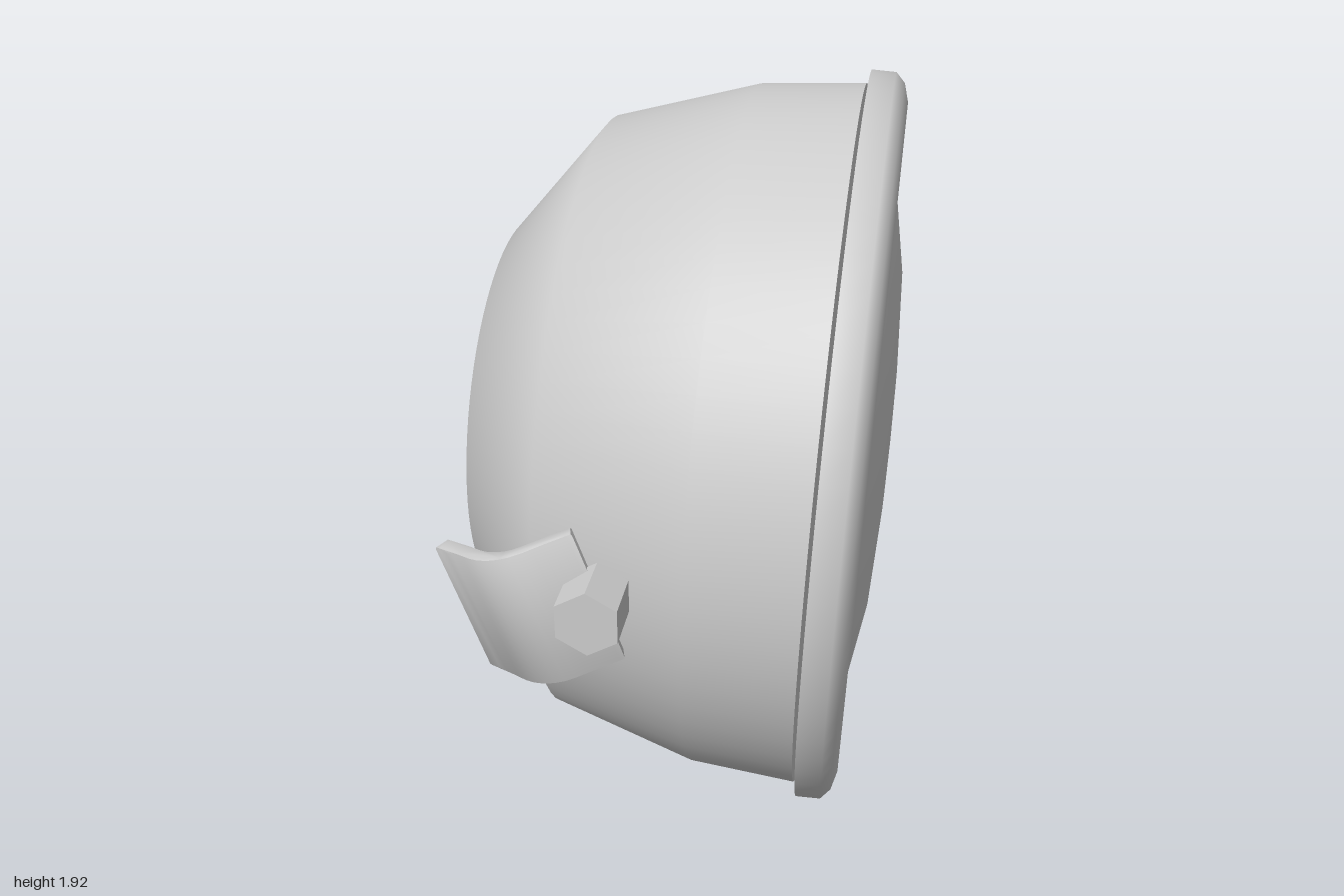
import * as THREE from 'three';
import { toCreasedNormals } from 'three/addons/utils/BufferGeometryUtils.js';

export function createModel() {
  const model = new THREE.Group();
  model.name = 'headlamp';
  const grey = new THREE.MeshStandardMaterial({ color: 0xcccccc });
  grey.name = 'plain grey';

  const add = (parent, name, geometry) => {
    const mesh = new THREE.Mesh(geometry, grey);
    mesh.name = name;
    parent.add(mesh);
    return mesh;
  };

  // Lamp body: turned parts on one axis that points to +x and dips slightly
  const lamp = new THREE.Group();
  lamp.name = 'lamp';
  lamp.position.set(0.383, 0.967, 0);
  lamp.rotation.z = -Math.PI / 2 - 0.039;
  model.add(lamp);

  // profile points are [radius, distance along the axis]
  const turned = (name, profile) => add(lamp, name, toCreasedNormals(
    new THREE.LatheGeometry(profile.map(([r, h]) => new THREE.Vector2(r, h)), 72), 1.2));

  turned('bowl', [[0, -0.918], [0.5, -0.884], [0.8, -0.645], [0.908, -0.279],
    [0.928, -0.01], [0.88, 0]]);
  turned('rim', [[0.87, 0], [0.963, 0], [0.961, 0.062], [0.935, 0.086], [0.888, 0.099],
    [0.822, 0.086], [0.822, 0.03]]);
  turned('lens', [[0.825, 0.052], [0.65, 0.096], [0.45, 0.131], [0.2, 0.144], [0, 0.147]]);

  // Bent bracket plate: a thick curved strip, x along the plate, y outwards
  const curve = new THREE.SplineCurve([[0.008, 0.787], [0.08, 0.845], [0.15, 0.9],
    [0.22, 0.919], [0.3, 0.895], [0.36, 0.877]].map(([x, y]) => new THREE.Vector2(x, y)));
  const steps = 18, half = 0.019, width = 0.34, bevel = 0.007;
  const side = (sign) => Array.from({ length: steps + 1 }, (_, i) => {
    const p = curve.getPoint(i / steps), t = curve.getTangent(i / steps);
    return new THREE.Vector2(p.x - t.y * half * sign, p.y + t.x * half * sign);
  });
  const strip = new THREE.Shape([...side(-1), ...side(1).reverse()]);
  const plate = toCreasedNormals(new THREE.ExtrudeGeometry(strip, {
    depth: width - 2 * bevel, bevelSize: bevel, bevelOffset: -bevel,
    bevelThickness: bevel, bevelSegments: 2,
  }).translate(0, 0, bevel), 0.7);

  // Hexagonal bolt with a corner at the top
  const bolt = new THREE.CylinderGeometry(0.08, 0.08, 0.125, 6).rotateX(Math.PI / 2);
  const hex = toCreasedNormals(bolt, 0.5);

  const along = new THREE.Vector3(Math.cos(0.34), Math.sin(0.34), 0);
  const across = new THREE.Vector3(Math.sin(0.34), -Math.cos(0.34), 0);
  for (const s of [1, -1]) {
    const mount = new THREE.Group();
    mount.name = s > 0 ? 'frontMount' : 'backMount';
    model.add(mount);

    // the opposite plate is extruded the other way, which mirrors it
    const basis = new THREE.Matrix4().makeBasis(along, new THREE.Vector3(0, 0, s),
      across.clone().multiplyScalar(s));
    const origin = new THREE.Vector3(-0.48, 1.01, 0);
    if (s < 0) origin.addScaledVector(across, width);
    basis.setPosition(origin);
    add(mount, 'bracket', plate.clone().applyMatrix4(basis));

    add(mount, 'bolt', hex).position.set(-0.085, 0.97, s * 0.9375);
  }
  return model;
}
